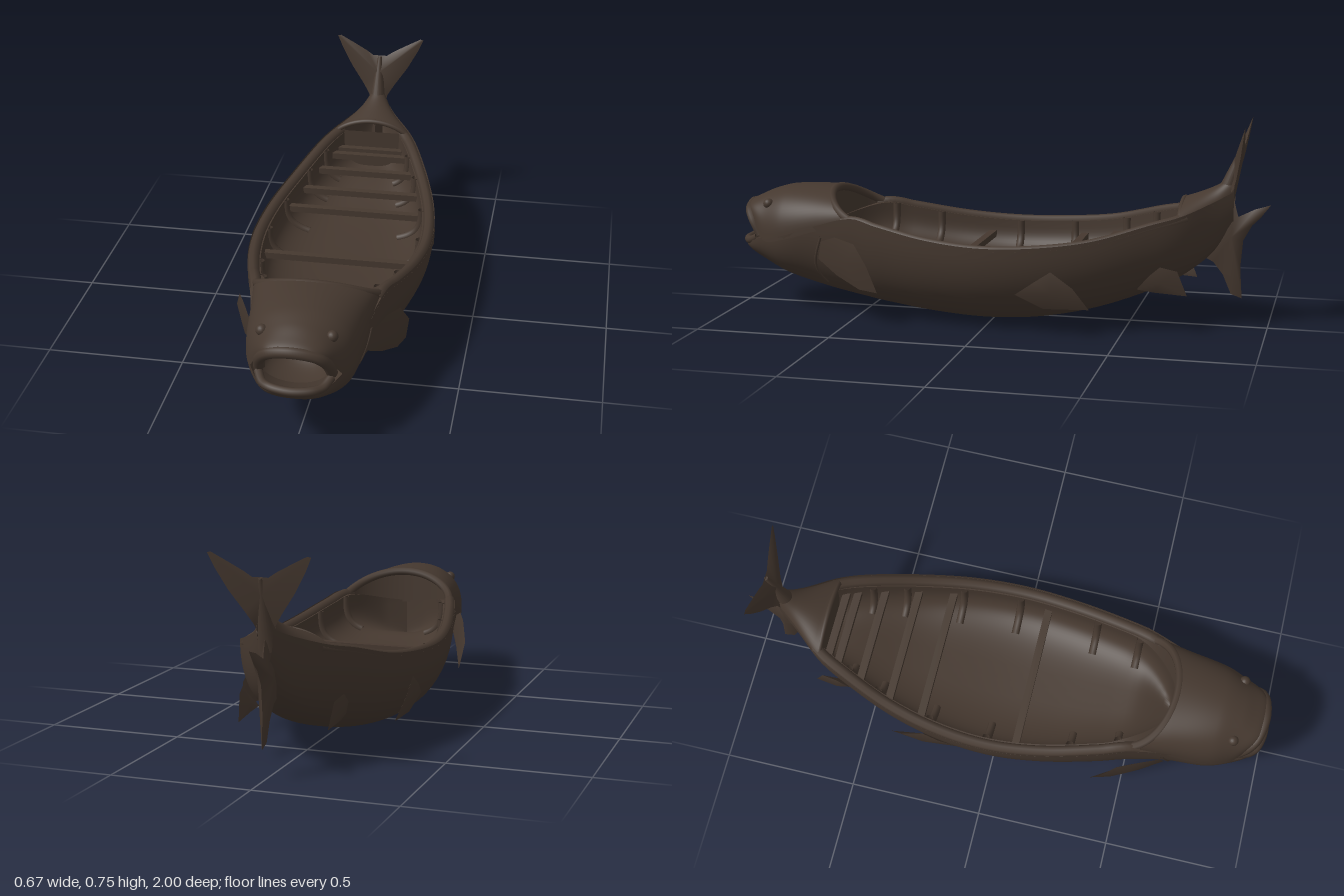
import * as THREE from 'three';

const wood = new THREE.MeshStandardMaterial({ color: 0x45382f, side: THREE.DoubleSide });
wood.name = 'dark wood';

// Stations along the hull: z, half width, keel height, rim height
const HULL = [
  [-0.87, 0.028, 0.38, 0.5], [-0.8, 0.075, 0.275, 0.465], [-0.7, 0.155, 0.19, 0.425], [-0.6, 0.205, 0.135, 0.4],
  [-0.4, 0.278, 0.06, 0.345], [-0.2, 0.322, 0.015, 0.32], [0, 0.335, 0, 0.313], [0.2, 0.315, 0.008, 0.328],
  [0.4, 0.272, 0.03, 0.362], [0.5, 0.243, 0.045, 0.38], [0.65, 0.205, 0.075, 0.34], [0.8, 0.188, 0.12, 0.29],
  [0.9, 0.148, 0.17, 0.272], [0.95, 0.112, 0.2, 0.25], [0.98, 0.075, 0.225, 0.25], [0.99, 0.035, 0.24, 0.25],
];
// Stations of the covered parts: z, half width, lower edge, crown
const HEAD = [
  [0.45, 0.232, 0.378, 0.45], [0.65, 0.205, 0.32, 0.465], [0.8, 0.188, 0.275, 0.462], [0.88, 0.158, 0.268, 0.442],
  [0.93, 0.122, 0.335, 0.42], [0.96, 0.088, 0.365, 0.405], [0.975, 0.05, 0.38, 0.392],
];
const STERN = [
  [-0.87, 0.028, 0.5, 0.56], [-0.8, 0.075, 0.455, 0.515], [-0.7, 0.155, 0.415, 0.474], [-0.68, 0.165, 0.41, 0.47],
];

// Smooth lookup of a station table at z
function at(table, z) {
  const n = table.length;
  let i = 0;
  while (i < n - 2 && z > table[i + 1][0]) i++;
  const a = table[i], b = table[i + 1], h = b[0] - a[0];
  const t = THREE.MathUtils.clamp((z - a[0]) / h, 0, 1);
  const slope = (k, c) => {
    const p = table[Math.max(k - 1, 0)], q = table[Math.min(k + 1, n - 1)];
    return (q[c] - p[c]) / (q[0] - p[0]);
  };
  return [1, 2, 3].map((c) =>
    (2 * t ** 3 - 3 * t * t + 1) * a[c] + (t ** 3 - 2 * t * t + t) * h * slope(i, c) +
    (3 * t * t - 2 * t ** 3) * b[c] + (t ** 3 - t * t) * h * slope(i + 1, c));
}

function indexed(pos, idx) {
  const g = new THREE.BufferGeometry();
  g.setAttribute('position', new THREE.Float32BufferAttribute(pos, 3));
  g.setIndex(idx);
  g.computeVertexNormals();
  return g;
}

// Surface through a grid of points given by f(u, v)
function loft(nu, nv, f) {
  const pos = [], idx = [];
  for (let i = 0; i <= nu; i++) for (let j = 0; j <= nv; j++) pos.push(...f(i / nu, j / nv));
  for (let i = 0; i < nu; i++) for (let j = 0; j < nv; j++) {
    const a = i * (nv + 1) + j, b = a + nv + 1;
    idx.push(a, b, a + 1, b, b + 1, a + 1);
  }
  return indexed(pos, idx);
}

// Half superellipse hanging below a rim
function bowl(w, bottom, rim, v, n) {
  const a = Math.PI * v, c = Math.cos(a), s = Math.abs(Math.sin(a));
  return [w * Math.sign(c) * Math.abs(c) ** (2 / n), rim - (rim - bottom) * s ** (2 / n)];
}

// Point of an arched cover; a higher power gives a more peaked arch
function arch(table, z, v, power) {
  const [w, low, top] = at(table, z), a = Math.PI * v;
  return [w * Math.cos(a), low + (top - low) * Math.max(0, Math.sin(a)) ** power, z];
}

// Inside wall and raised floor of the cockpit, rounded at the bow
function inner(z, v) {
  const [w, , r] = at(HULL, z);
  const bow = z > 0.42 ? Math.sqrt(Math.max(0, 1 - ((z - 0.42) / 0.22) ** 2)) : 1;
  const [x, y] = bowl((w - 0.048) * bow, r - 0.155, r - 0.012, v, 3.2);
  return [x, y, z];
}

// Fin fanned from a swollen centre to a thin 3D outline, one smooth fan per side
function finGeometry(points, centre, swell) {
  const pos = [], idx = [], n = points.length;
  for (const s of [1, -1]) {
    const o = pos.length / 3;
    pos.push(...centre.map((c, k) => c + s * swell[k]), ...points.flat());
    for (let i = 0; i < n; i++) {
      const a = o + 1 + i, b = o + 1 + ((i + 1) % n);
      idx.push(o, ...(s > 0 ? [a, b] : [b, a]));
    }
  }
  return indexed(pos, idx);
}

export function createModel() {
  const model = new THREE.Group();
  model.name = 'fishBoat';
  const add = (name, geometry) => {
    const m = new THREE.Mesh(geometry, wood);
    m.name = name;
    model.add(m);
    return m;
  };
  const tube = (name, pts, r, seg = 48) => add(name, new THREE.TubeGeometry(
    new THREE.CatmullRomCurve3(pts.map((p) => new THREE.Vector3(...p))), seg, r, 8));
  const range = (n, f) => Array.from({ length: n + 1 }, (_, i) => f(i / n));

  // Hull shell
  add('hull', loft(80, 40, (u, v) => {
    const z = -0.87 + 1.86 * u, [w, b, r] = at(HULL, z);
    return [...bowl(w, b, r, v, 2.35), z];
  }));

  // Cockpit lining, flat rim and rear bulkhead
  add('cockpit', loft(60, 40, (u, v) => inner(-0.7 + 1.34 * u, v)));
  for (const s of [0, 1]) {
    add('rim', loft(60, 1, (u, v) => {
      const z = -0.7 + 1.34 * u, p = inner(z, s), [w, , r] = at(HULL, z);
      return v ? p : [s ? -w : w, r - 0.012, z];
    }));
    tube('gunwale', range(30, (t) => {
      const z = -0.71 + 1.25 * t, [w, , r] = at(HULL, z);
      return [(s ? -1 : 1) * (w - 0.022), r - 0.014, z];
    }), 0.021, 80);
  }
  add('bulkhead', loft(1, 32, (u, v) => {
    const p = inner(-0.69, v);
    return u ? p : [p[0], 0.42, -0.69];
  }));

  // Head cover with a U-shaped rear edge, its collar and the wall below it
  const hood = (v) => arch(HEAD, 0.48 + 0.155 * Math.max(0, Math.sin(Math.PI * v)) ** 0.75, v, 0.75);
  add('head', loft(40, 40, (u, v) => arch(HEAD, THREE.MathUtils.lerp(hood(v)[2], 0.975, u), v, 0.75)));
  add('bowWall', loft(1, 40, (u, v) => {
    const [x, y, z] = hood(v);
    return [x, u ? 0.325 : y, z];
  }));
  tube('headCollar', range(24, (v) => {
    const [x, y, z] = hood(v);
    return [x * 0.97, y - 0.012, z];
  }), 0.016);

  // Stern deck and its collar
  add('sternDeck', loft(20, 24, (u, v) => arch(STERN, -0.87 + 0.18 * u, v, 1.5)));
  tube('sternCollar', range(16, (v) => {
    const [x, y, z] = arch(STERN, -0.69, v, 1.5);
    return [x * 0.93, y - 0.006, z];
  }), 0.01);

  // Mouth: lips and throat
  const lip = (name, pts, r) => tube(name, [...pts, ...pts.slice(0, -1).reverse().map(([x, y, z]) => [-x, y, z])], r);
  lip('upperLip', [[0.122, 0.28, 0.898], [0.11, 0.335, 0.932], [0.08, 0.368, 0.955], [0, 0.385, 0.968]], 0.02);
  lip('lowerLip', [[0.122, 0.272, 0.912], [0.1, 0.254, 0.95], [0.07, 0.252, 0.972], [0, 0.25, 0.985]], 0.015);
  const throat = add('throat', new THREE.SphereGeometry(1, 24, 12, 0, Math.PI * 2, 0, Math.PI / 2));
  throat.rotation.x = -Math.PI / 2;
  throat.scale.set(0.115, 0.14, 0.065);
  throat.position.set(0, 0.305, 0.915);

  // Thwarts across the cockpit
  for (const z of [-0.665, -0.625, -0.53, -0.41, -0.28, 0.09]) {
    const [w, , r] = at(HULL, z);
    add('thwart', new THREE.BoxGeometry(2 * (w - 0.045), 0.024, 0.028)).position.set(0, r - 0.07, z);
  }

  for (const s of [1, -1]) {
    const mirror = (pts) => pts.map(([x, y, z]) => [s * x, y, z]);
    const sideFin = (name, pts, swell = 0.016) => {
      const c = [0, 1, 2].map((k) => pts.reduce((sum, p) => sum + p[k], 0) / pts.length);
      add(name, finGeometry(mirror(pts), mirror([c])[0], [swell, 0, 0]));
    };
    // Ribs along the inside wall
    for (const z of [-0.57, -0.45, -0.24, -0.02, 0.29, 0.46])
      tube('rib', mirror(range(12, (t) => inner(z, 0.33 * t))), 0.015, 24);

    // Eyes and gill covers
    const eye = add('eye', new THREE.SphereGeometry(0.02, 16, 12));
    eye.position.set(s * 0.117, 0.4, 0.868);
    tube('gillCover', mirror(range(10, (t) => {
      const z = 0.63 + 0.03 * Math.sin(Math.PI * t), [w, b, r] = at(HULL, z);
      return [...bowl(w, b, r, 0.04 + 0.26 * t, 2.35), z];
    })), 0.005, 24);

    // Paired side fins
    sideFin('pectoralFin', [[0.195, 0.215, 0.645], [0.215, 0.285, 0.625], [0.25, 0.31, 0.56], [0.285, 0.295, 0.475],
      [0.31, 0.22, 0.42], [0.295, 0.12, 0.385], [0.275, 0.125, 0.46], [0.235, 0.165, 0.56]]);
    sideFin('pelvicFin', [[0.3, 0.145, -0.13], [0.31, 0.195, -0.2], [0.308, 0.235, -0.26], [0.31, 0.18, -0.34],
      [0.285, 0.1, -0.395], [0.285, 0.095, -0.23]]);
    sideFin('rearFin', [[0.16, 0.155, -0.545], [0.185, 0.21, -0.59], [0.183, 0.245, -0.63], [0.17, 0.23, -0.69],
      [0.16, 0.14, -0.725], [0.165, 0.148, -0.61]]);
  }

  // Tail: stem, upright forked fin and the fin below it
  const stem = add('tailStem', new THREE.CylinderGeometry(0.008, 0.042, 0.25, 20));
  stem.position.set(0, 0.55, -0.86);
  stem.rotation.x = -0.32;
  const half = [[0.03, 0.46], [0.037, 0.51], [0.062, 0.55], [0.115, 0.625], [0.155, 0.695], [0.178, 0.745],
    [0.165, 0.748], [0.105, 0.717], [0.055, 0.69], [0.028, 0.672]];
  const bend = ([x, y]) => [x, y, -0.835 - 0.08 * Math.sqrt((y - 0.46) / 0.29)];
  add('tailFin', finGeometry([...half, ...half.slice().reverse().map(([x, y]) => [-x, y])].map(bend),
    [0, 0.61, -0.88], [0, 0, 0.016]));
  add('lowerTailFin', finGeometry([[-0.75, 0.26], [-0.8, 0.235], [-0.835, 0.19], [-0.865, 0.12], [-0.905, 0.105],
    [-0.897, 0.22], [-0.905, 0.32], [-0.935, 0.375], [-0.965, 0.405], [-1, 0.452], [-0.945, 0.435], [-0.885, 0.405],
    [-0.865, 0.48], [-0.8, 0.45]].map(([z, y]) => [0, y, z]), [0, 0.335, -0.865], [0.03, 0, 0]));

  return model;
}
